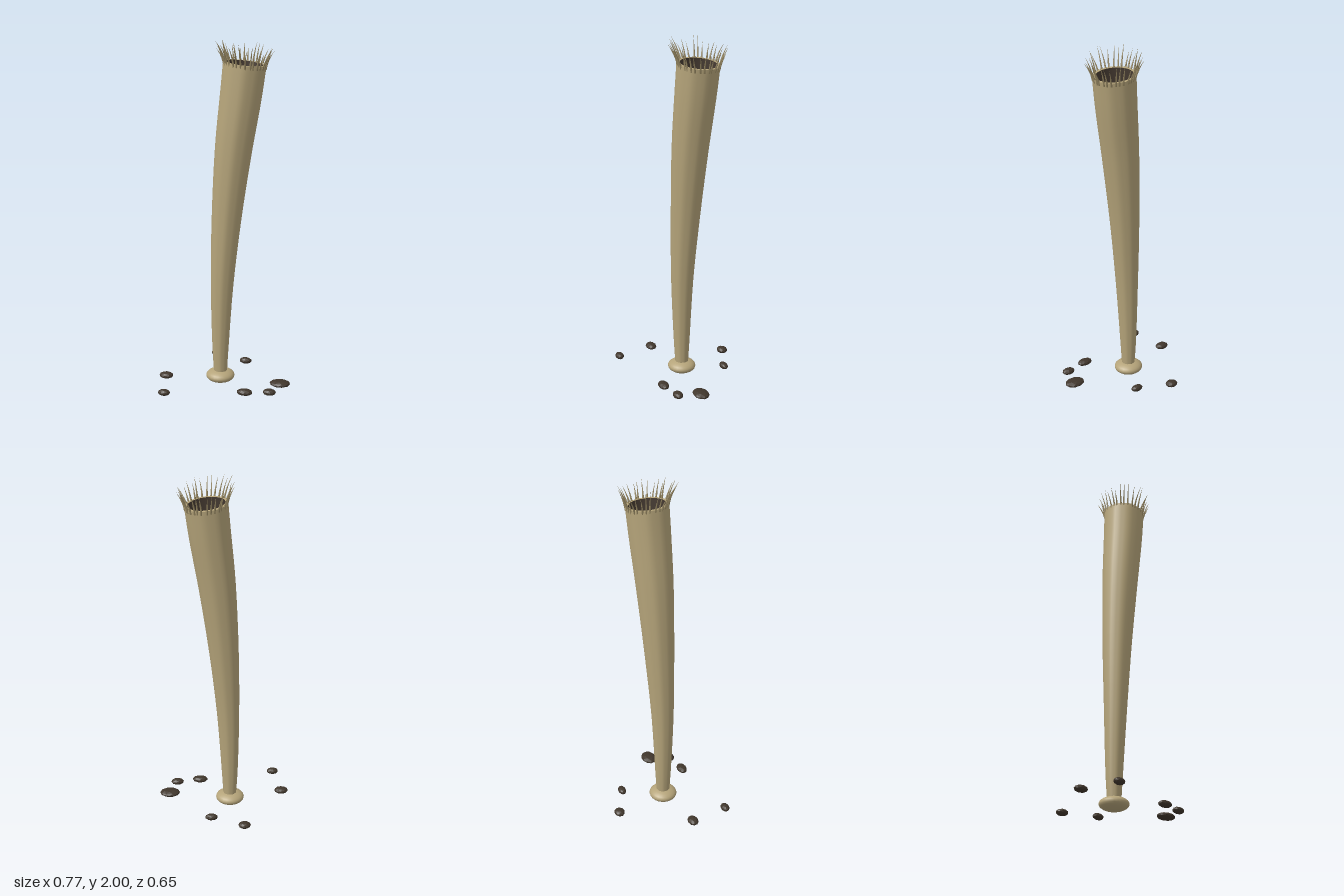
import * as THREE from 'three';

const SIDES = 40;

// Centre line stations: x, y, z, radius
const STATIONS = [
  [-0.034, 0.05, 0.01, 0.037],
  [-0.034, 0.2, 0.01, 0.046],
  [-0.024, 0.6, 0.01, 0.064],
  [0.0, 1.0, 0.0, 0.083],
  [0.037, 1.4, -0.012, 0.102],
  [0.075, 1.7, -0.025, 0.113],
  [0.094, 1.872, -0.033, 0.117],
];

// Smooth centre, radius and lean at height fraction t
const centre = new THREE.CatmullRomCurve3(STATIONS.map(([x, y, z]) => new THREE.Vector3(x, y, z)));
const radii = new THREE.CatmullRomCurve3(STATIONS.map(([, y, , r]) => new THREE.Vector3(r, y, 0)));

function ringPoint(t, angle, scale = 1, ribbed = true) {
  const c = centre.getPoint(t);
  const lean = centre.getTangent(t);
  const rib = ribbed ? 1 + 0.014 * Math.cos(9 * angle) : 1;
  const r = radii.getPoint(t).x * rib * scale;
  const dx = Math.cos(angle) * r;
  const dz = Math.sin(angle) * r;
  return new THREE.Vector3(c.x + dx, c.y - (dx * lean.x + dz * lean.z) / lean.y, c.z + dz);
}

// Skin between rings listed as [t, scale, ribbed]
function loft(rings) {
  const pos = [];
  const index = [];
  const n = SIDES;
  rings.forEach(([t, scale, ribbed]) => {
    for (let i = 0; i < n; i++) pos.push(...ringPoint(t, (i / n) * Math.PI * 2, scale, ribbed).toArray());
  });
  for (let k = 0; k < rings.length - 1; k++) {
    for (let i = 0; i < n; i++) {
      const a = k * n + i;
      const b = k * n + ((i + 1) % n);
      index.push(a, a + n, b, b, a + n, b + n);
    }
  }
  const g = new THREE.BufferGeometry();
  g.setAttribute('position', new THREE.Float32BufferAttribute(pos, 3));
  g.setIndex(index);
  g.computeVertexNormals();
  return g;
}

// Curved tapering spine through three points
function spineGeometry(points, radius) {
  const curve = new THREE.QuadraticBezierCurve3(...points);
  const steps = 5;
  const sides = 6;
  const g = new THREE.TubeGeometry(curve, steps, radius, sides, false);
  const p = g.attributes.position;
  const v = new THREE.Vector3();
  for (let i = 0; i < p.count; i++) {
    const t = Math.floor(i / (sides + 1)) / steps;
    const c = curve.getPointAt(t);
    v.fromBufferAttribute(p, i).sub(c).multiplyScalar(1 - 0.97 * t).add(c);
    p.setXYZ(i, v.x, v.y, v.z);
  }
  g.computeVertexNormals();
  return g;
}

export function createModel() {
  const model = new THREE.Group();
  const material = (name, color, extra = {}) => {
    const m = new THREE.MeshStandardMaterial({ color, ...extra });
    m.name = name;
    return m;
  };
  const tan = material('tan skin', 0xb5a47a);
  const spineTan = material('dull tan spines', 0x978863);
  const dark = material('dark hollow', 0x453a31, { side: THREE.DoubleSide });
  const stone = material('dark stone', 0x40362c, { flatShading: true });

  const add = (name, geometry, mat, parent = model) => {
    const mesh = new THREE.Mesh(geometry, mat);
    mesh.name = name;
    parent.add(mesh);
    return mesh;
  };

  let seed = 11;
  const rand = () => {
    seed = (seed * 16807) % 2147483647;
    return seed / 2147483647;
  };

  // Leaning stalk that widens towards the mouth
  const outer = [];
  for (let k = 0; k <= 24; k++) outer.push([k / 24, 1, true]);
  add('stalk', loft(outer), tan);

  // Rim around the mouth
  add('rim', loft([[1, 1, true], [1, 0.86, false]]), tan);

  // Hollow inside the mouth with a floor
  const floorT = 0.69;
  const inner = [];
  for (let k = 0; k <= 6; k++) inner.push([1 + (floorT - 1) * (k / 6), 0.86, false]);
  add('hollowWall', loft(inner), dark);
  add('hollowFloor', loft([[floorT, 0.86, false], [floorT, 0.001, false]]), dark);

  // Foot bulb
  const foot = add('foot', new THREE.SphereGeometry(1, 24, 14), tan);
  foot.scale.set(0.083, 0.038, 0.081);
  foot.position.set(-0.035, 0.038, 0.01);

  // Fringe of spines round the rim
  const fringe = new THREE.Group();
  fringe.name = 'fringe';
  model.add(fringe);
  const count = 32;
  for (let i = 0; i < count; i++) {
    const a = ((i + (rand() - 0.5) * 0.5) / count) * Math.PI * 2;
    const out = new THREE.Vector3(Math.cos(a), 0, Math.sin(a));
    const root = ringPoint(1, a, 0.95);
    root.y -= 0.02;
    const spread = 0.03 + rand() * 0.03;
    const height = 0.08 + rand() * 0.045;
    const mid = root.clone().addScaledVector(out, spread * 0.3);
    mid.y += height * 0.6;
    const tip = root.clone().addScaledVector(out, spread);
    tip.y += height + 0.012;
    tip.x += (rand() - 0.5) * 0.016;
    tip.z += (rand() - 0.5) * 0.016;
    add('spine', spineGeometry([root, mid, tip], 0.0065), spineTan, fringe);
  }

  // Scattered flat pebbles: x, z, half width, half depth
  const pebbles = [
    [-0.115, -0.297, 0.036, 0.031],
    [0.075, -0.213, 0.037, 0.023],
    [-0.345, 0.075, 0.041, 0.031],
    [-0.303, 0.299, 0.035, 0.025],
    [0.145, 0.207, 0.046, 0.03],
    [0.283, 0.18, 0.038, 0.028],
    [0.325, 0.056, 0.06, 0.045],
  ];
  pebbles.forEach(([x, z, w, d], i) => {
    const g = new THREE.IcosahedronGeometry(1, 1);
    g.rotateY(i * 1.3);
    const pebble = add('pebble', g, stone);
    pebble.scale.set(w, 0.019, d);
    pebble.position.set(x, 0.037, z);
  });

  return model;
}
